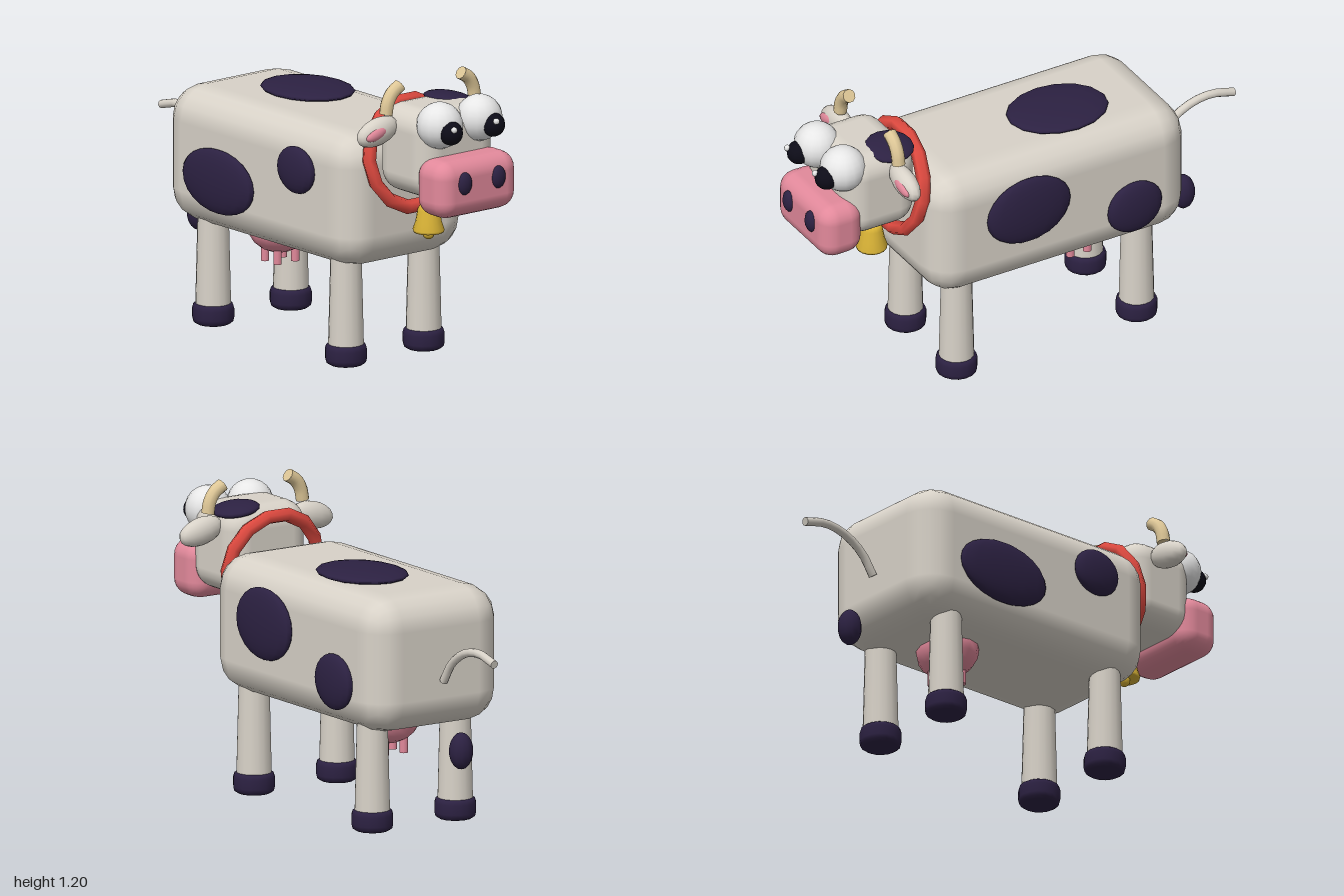
import * as THREE from 'three';
import { RoundedBoxGeometry } from 'three/addons/geometries/RoundedBoxGeometry.js';

function material(name, color) {
  const m = new THREE.MeshStandardMaterial({ color });
  m.name = name;
  return m;
}

export function createModel() {
  const cow = new THREE.Group();
  cow.name = 'cow';

  const hide = material('hide', 0xd8d2c8);
  const patch = material('darkPatch', 0x2c2142);
  const pink = material('pink', 0xe2899b);
  const red = material('collarRed', 0xe04a40);
  const gold = material('bellGold', 0xd8b236);
  const horn = material('horn', 0xdec797);
  const white = material('eyeWhite', 0xe9e9e9);
  const black = material('pupilBlack', 0x0d0c18);

  function add(name, geometry, mat, x = 0, y = 0, z = 0) {
    const mesh = new THREE.Mesh(geometry, mat);
    mesh.name = name;
    mesh.position.set(x, y, z);
    cow.add(mesh);
    return mesh;
  }

  function ellipsoid(name, mat, [x, y, z], [rx, ry, rz], seg = 16) {
    const mesh = add(name, new THREE.SphereGeometry(1, seg, Math.ceil(seg * 0.7)), mat, x, y, z);
    mesh.scale.set(rx, ry, rz);
    return mesh;
  }

  // Curved tube with closed ends
  function cappedTube(name, points, radius, mat) {
    const curve = new THREE.CatmullRomCurve3(points.map((p) => new THREE.Vector3(...p)));
    add(name, new THREE.TubeGeometry(curve, 10, radius, 10), mat);
    for (const t of [0, 1]) {
      const p = curve.getPoint(t);
      const cap = add(name + 'End', new THREE.CircleGeometry(radius, 10), mat, p.x, p.y, p.z);
      const out = curve.getTangent(t).multiplyScalar(t ? 1 : -1);
      cap.quaternion.setFromUnitVectors(new THREE.Vector3(0, 0, 1), out);
    }
  }

  // Body and its patches
  add('body', new RoundedBoxGeometry(0.63, 0.55, 1.17, 2, 0.135), hide, 0, 0.68, -0.045);
  ellipsoid('leftFrontPatch', patch, [0.323, 0.738, 0.127], [0.034, 0.145, 0.19]);
  ellipsoid('leftRearPatch', patch, [0.323, 0.595, -0.355], [0.034, 0.112, 0.124]);
  ellipsoid('rightRearPatch', patch, [-0.325, 0.63, -0.25], [0.034, 0.13, 0.22]);
  ellipsoid('rightFrontPatch', patch, [-0.325, 0.775, 0.23], [0.034, 0.095, 0.11]);
  ellipsoid('backPatch', patch, [0.055, 0.965, -0.16], [0.168, 0.026, 0.212]);

  // Legs with rounded hooves
  const hoofProfile = [[0, 0], [0.066, 0], [0.079, 0.009], [0.083, 0.025], [0.083, 0.062],
    [0.078, 0.078], [0.066, 0.086], [0, 0.086]].map((p) => new THREE.Vector2(...p));
  for (const side of [1, -1]) {
    for (const z of [0.382, -0.437]) {
      add('leg', new THREE.CylinderGeometry(0.06, 0.071, 0.45, 16), hide, side * 0.197, 0.285, z);
      add('hoof', new THREE.LatheGeometry(hoofProfile, 16), patch, side * 0.197, 0, z);
    }
  }

  // Udder and teats
  ellipsoid('udder', pink, [0, 0.4, -0.26], [0.138, 0.108, 0.115], 14);
  for (const x of [-0.045, 0.045]) {
    for (const z of [-0.225, -0.302]) {
      add('teat', new THREE.CylinderGeometry(0.017, 0.017, 0.08, 10), pink, x, 0.295, z);
    }
  }

  // Tail and its separate tuft
  cappedTube('tail', [[0, 0.61, -0.645], [0, 0.69, -0.7], [0, 0.747, -0.79],
    [0, 0.764, -0.89], [0, 0.74, -0.995]], 0.017, hide);
  ellipsoid('tailTuft', patch, [0, 0.352, -0.765], [0.048, 0.074, 0.048], 12);

  // Head and muzzle
  add('head', new RoundedBoxGeometry(0.38, 0.355, 0.32, 3, 0.09), hide, 0, 0.917, 0.7);
  add('muzzle', new RoundedBoxGeometry(0.4, 0.232, 0.19, 3, 0.07), pink, 0, 0.803, 0.885);
  const headPatch = ellipsoid('headPatch', patch, [0.11, 1.08, 0.637], [0.095, 0.025, 0.1]);
  headPatch.rotation.z = -0.15;

  for (const side of [1, -1]) {
    // Eyes
    ellipsoid('eye', white, [side * 0.1, 1.042, 0.842], [0.093, 0.093, 0.093], 16);
    ellipsoid('pupil', black, [side * 0.107, 1.027, 0.92], [0.048, 0.048, 0.048], 14);
    ellipsoid('glint', white, [side * 0.107 - 0.018, 1.05, 0.962], [0.013, 0.013, 0.013], 8);

    // Nostrils
    ellipsoid('nostril', patch, [side * 0.085, 0.83, 0.977], [0.034, 0.046, 0.023], 12);

    // Ears with pink insides
    const ear = ellipsoid('ear', hide, [side * 0.262, 1.005, 0.655], [0.102, 0.055, 0.043], 14);
    ear.rotation.z = side * -0.22;
    ear.rotation.y = 0;
    const inner = ellipsoid('innerEar', pink, [side * 0.287, 1.005, 0.683], [0.055, 0.024, 0.018], 14);
    inner.rotation.z = side * -0.3;

    // Horns
    cappedTube('horn', [[side * 0.225, 1.07, 0.662], [side * 0.216, 1.115, 0.662],
      [side * 0.193, 1.152, 0.662], [side * 0.155, 1.177, 0.662]], 0.027, horn);
  }

  // Collar
  const collar = add('collar', new THREE.TorusGeometry(0.213, 0.029, 6, 14), red, 0, 0.855, 0.545);
  collar.rotation.x = -0.17;

  // Bell
  const bellProfile = [[0, 0.557], [0.06, 0.557], [0.063, 0.567], [0.052, 0.6], [0.044, 0.645],
    [0.036, 0.663], [0, 0.665]].map((p) => new THREE.Vector2(...p));
  add('bell', new THREE.LatheGeometry(bellProfile, 16), gold, 0, 0, 0.652);
  ellipsoid('clapper', gold, [0, 0.55, 0.652], [0.024, 0.024, 0.024], 10);

  return cow;
}
